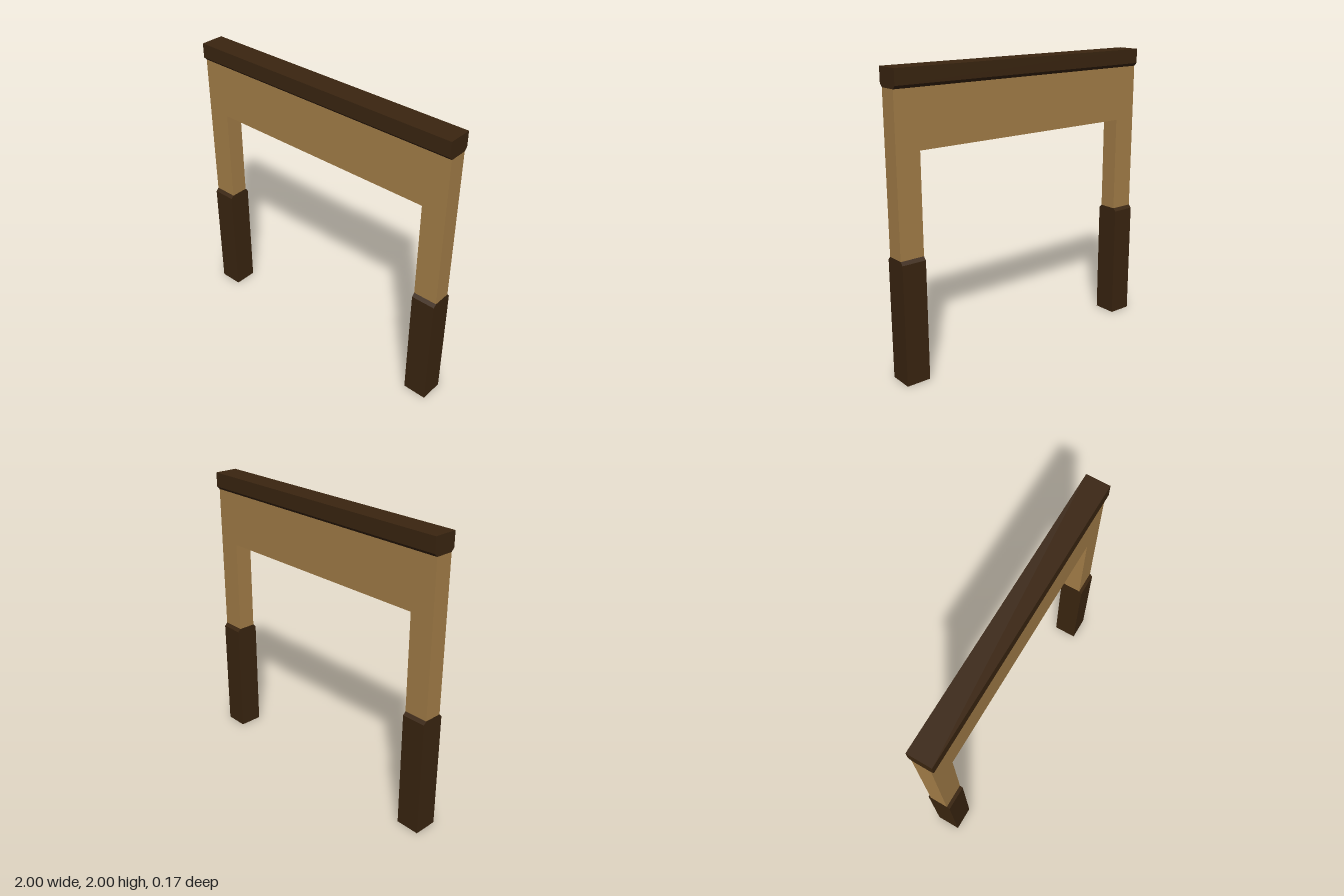
import * as THREE from 'three';

const darkWood = new THREE.MeshStandardMaterial({ color: 0x3a2510, flatShading: true });
const lightWood = new THREE.MeshStandardMaterial({ color: 0xa47e48, flatShading: true });

const OUTER = 1, INNER = 0.833;       // post faces in x
const WALL = 0.0625, TRIM = 0.083;    // half depths in z
const FOOT_TOP = 0.833, BEAM_BASE = 1.878, LINTEL = 1.5, BEVEL = 0.021;

const toShape = (points) => new THREE.Shape(points.map(([x, y]) => new THREE.Vector2(x, y)));

// Extrudes a (z, y) profile along x, centred on x = 0
function alongX(name, points, length) {
  const geometry = new THREE.ExtrudeGeometry(toShape(points), { depth: length, bevelEnabled: false });
  geometry.translate(0, 0, -length / 2).rotateY(Math.PI / 2);
  const mesh = new THREE.Mesh(geometry, darkWood);
  mesh.name = name;
  return mesh;
}

export function createModel() {
  const group = new THREE.Group();
  group.name = 'doorFrame';

  // Light posts and lintel in one piece
  const archGeometry = new THREE.ExtrudeGeometry(toShape([
    [-OUTER, FOOT_TOP], [-INNER, FOOT_TOP], [-INNER, LINTEL], [INNER, LINTEL],
    [INNER, FOOT_TOP], [OUTER, FOOT_TOP], [OUTER, BEAM_BASE], [-OUTER, BEAM_BASE],
  ]), { depth: WALL * 2, bevelEnabled: false });
  archGeometry.translate(0, 0, -WALL);
  const arch = new THREE.Mesh(archGeometry, lightWood);
  arch.name = 'postsAndLintel';
  group.add(arch);

  // Top beam with chamfered lower edges
  group.add(alongX('topBeam', [
    [-WALL, BEAM_BASE], [WALL, BEAM_BASE], [TRIM, BEAM_BASE + BEVEL],
    [TRIM, 2], [-TRIM, 2], [-TRIM, BEAM_BASE + BEVEL],
  ], OUTER * 2));

  // Post feet with chamfered upper edges
  for (const [side, name] of [[1, 'leftFoot'], [-1, 'rightFoot']]) {
    const foot = alongX(name, [
      [-TRIM, 0], [TRIM, 0], [TRIM, FOOT_TOP - BEVEL],
      [WALL, FOOT_TOP], [-WALL, FOOT_TOP], [-TRIM, FOOT_TOP - BEVEL],
    ], OUTER - INNER);
    foot.position.x = side * (OUTER + INNER) / 2;
    group.add(foot);
  }
  return group;
}
